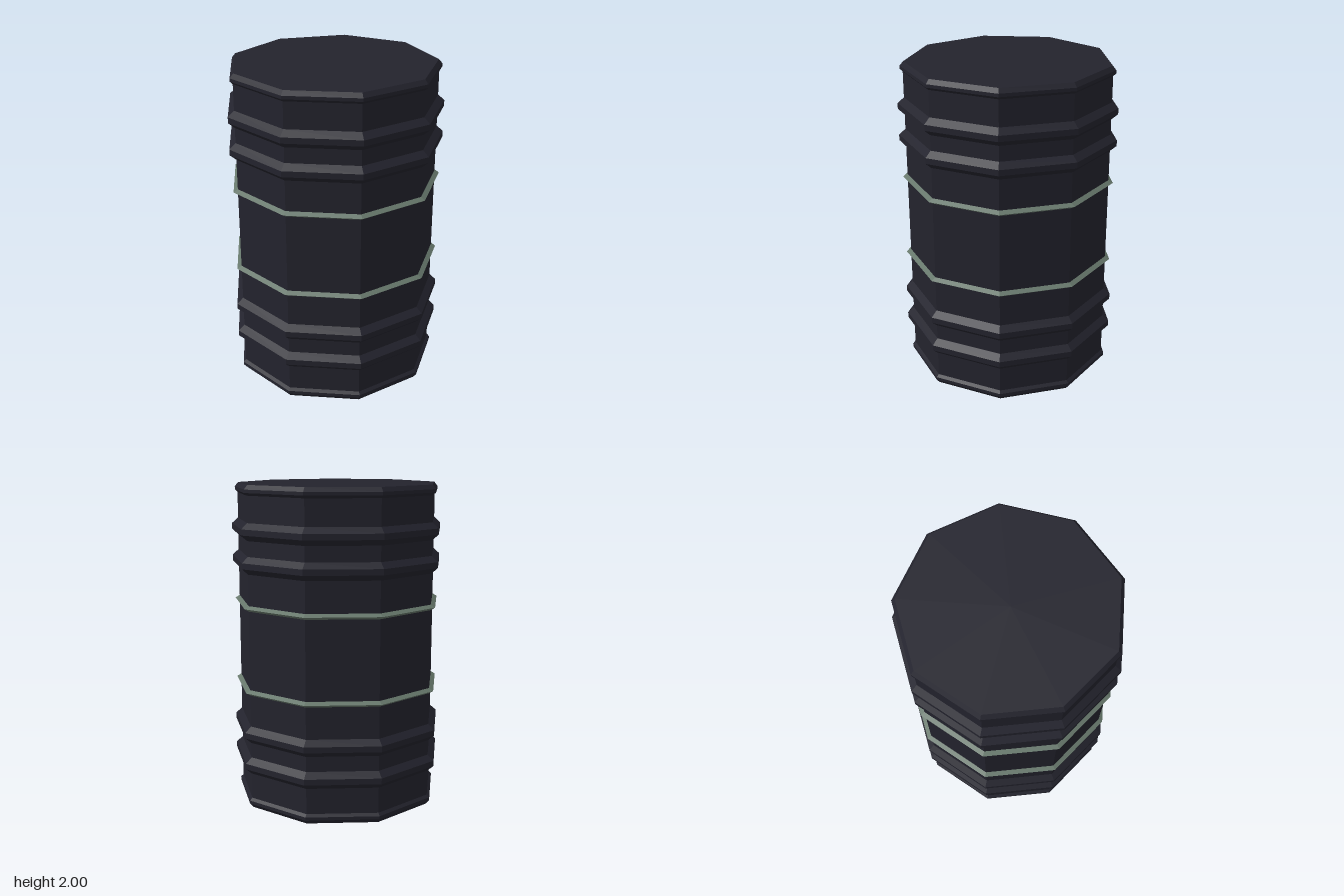
import * as THREE from 'three';

const SIDES = 9;
const BODY = 0.635;   // corner radius of the drum wall
const RIB = 0.675;    // corner radius of the ribs
const RIM = 0.652;    // corner radius of the end rims

const shell = new THREE.MeshStandardMaterial({ color: 0x23232d });
shell.name = 'darkShell';
const trim = new THREE.MeshStandardMaterial({ color: 0x66776b });
trim.name = 'greyGreenTrim';

// Faceted nine-sided lathe with one corner pointing to the back
function facetedLathe(name, profile, material) {
  const points = profile.map(([r, y]) => new THREE.Vector2(r, y));
  const geometry = new THREE.LatheGeometry(points, SIDES, Math.PI).toNonIndexed();
  geometry.computeVertexNormals();
  const mesh = new THREE.Mesh(geometry, material);
  mesh.name = name;
  return mesh;
}

// Trapezoid rib around the wall, centred on height y
const rib = (y) => [[BODY, y - 0.053], [RIB, y - 0.018], [RIB, y + 0.018], [BODY, y + 0.053]];

export function createModel() {
  const barrel = new THREE.Group();
  barrel.name = 'barrel';

  // Drum: lower cap and rim, ribbed wall, upper rim and cap
  barrel.add(facetedLathe('drum', [
    [0, 0], [0.63, 0], [RIM, 0.026], [RIM, 0.046], [BODY, 0.062],
    ...[0.275, 0.475, 1.725 - 0.2, 1.725].flatMap(rib),
    [BODY, 1.938], [RIM, 1.954], [RIM, 1.974], [0.63, 2], [0, 2],
  ], shell));

  // Thin pointed bands around the middle
  for (const [name, y] of [['lowerBand', 0.743], ['upperBand', 1.265]]) {
    barrel.add(facetedLathe(name, [
      [BODY - 0.005, y - 0.02], [0.663, y], [BODY - 0.005, y + 0.02],
    ], trim));
  }

  // An odd-sided prism is off-centre in depth, so shift it to the middle
  barrel.position.z = RIB * (1 - Math.cos(Math.PI / SIDES)) / 2;
  const model = new THREE.Group();
  model.name = 'ribbedBarrel';
  model.add(barrel);
  return model;
}
